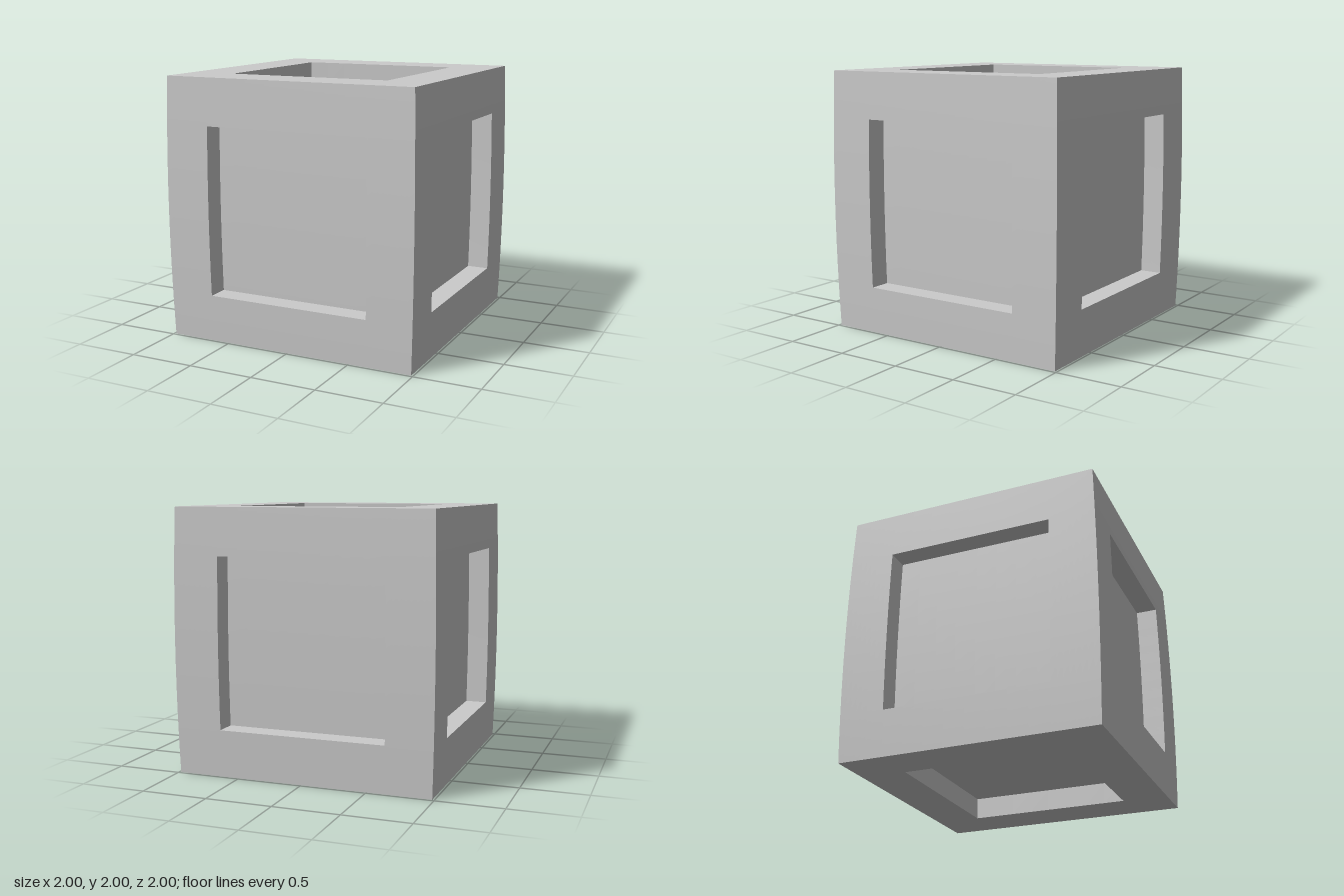
import * as THREE from 'three';
import { mergeGeometries, mergeVertices } from 'three/addons/utils/BufferGeometryUtils.js';

const HOLE = 0.644;   // half size of each recess
const DEPTH = 0.167;  // depth of each recess
const BULGE = 0.016;  // how far the waist swells past the top and bottom
const SEG = 8;

// Flat patch facing +z, given by its bounds
function patch(x0, x1, y0, y1, z) {
  return new THREE.PlaneGeometry(x1 - x0, y1 - y0, SEG, SEG)
    .translate((x0 + x1) / 2, (y0 + y1) / 2, z);
}

// Border around the recess: a 3 x 3 grid of patches without its centre
function frameGeometry() {
  const t = [-1, -HOLE, HOLE, 1];
  const cells = [];
  for (let i = 0; i < 3; i++) {
    for (let j = 0; j < 3; j++) {
      if (i === 1 && j === 1) continue;
      cells.push(patch(t[i], t[i + 1], t[j], t[j + 1], 1));
    }
  }
  return mergeGeometries(cells);
}

// One recess wall, facing the middle of the recess
function wallGeometry(k) {
  return new THREE.PlaneGeometry(2 * HOLE, DEPTH, SEG, 1)
    .rotateX(-Math.PI / 2)
    .translate(0, -HOLE, 1 - DEPTH / 2)
    .rotateZ(k * Math.PI / 2);
}

// Turn a patch to its cube side, swell the waist and smooth the surface
function finish(geometry, rx, ry) {
  geometry.rotateX(rx).rotateY(ry);
  geometry.deleteAttribute('uv');
  geometry.deleteAttribute('normal');
  const g = mergeVertices(geometry, 1e-4);
  const p = g.attributes.position;
  for (let i = 0; i < p.count; i++) {
    const y = p.getY(i);
    const s = 1 - BULGE * y * y;
    p.setXYZ(i, p.getX(i) * s, y + 1, p.getZ(i) * s);
  }
  g.computeVertexNormals();
  return g;
}

export function createModel() {
  const model = new THREE.Group();
  model.name = 'panelledCube';
  const material = new THREE.MeshStandardMaterial({ color: 0xcccccc });
  const q = Math.PI / 2;
  const sides = [
    ['front', 0, 0], ['left', 0, q], ['back', 0, 2 * q],
    ['right', 0, -q], ['top', -q, 0], ['bottom', q, 0],
  ];

  for (const [name, rx, ry] of sides) {
    const side = new THREE.Group();
    side.name = name + 'Side';
    const add = (part, geometry) => {
      const mesh = new THREE.Mesh(finish(geometry, rx, ry), material);
      mesh.name = name + part;
      side.add(mesh);
    };
    add('Frame', frameGeometry());
    add('Panel', patch(-HOLE, HOLE, -HOLE, HOLE, 1 - DEPTH));
    for (let k = 0; k < 4; k++) add('RecessWall' + (k + 1), wallGeometry(k));
    model.add(side);
  }
  return model;
}
